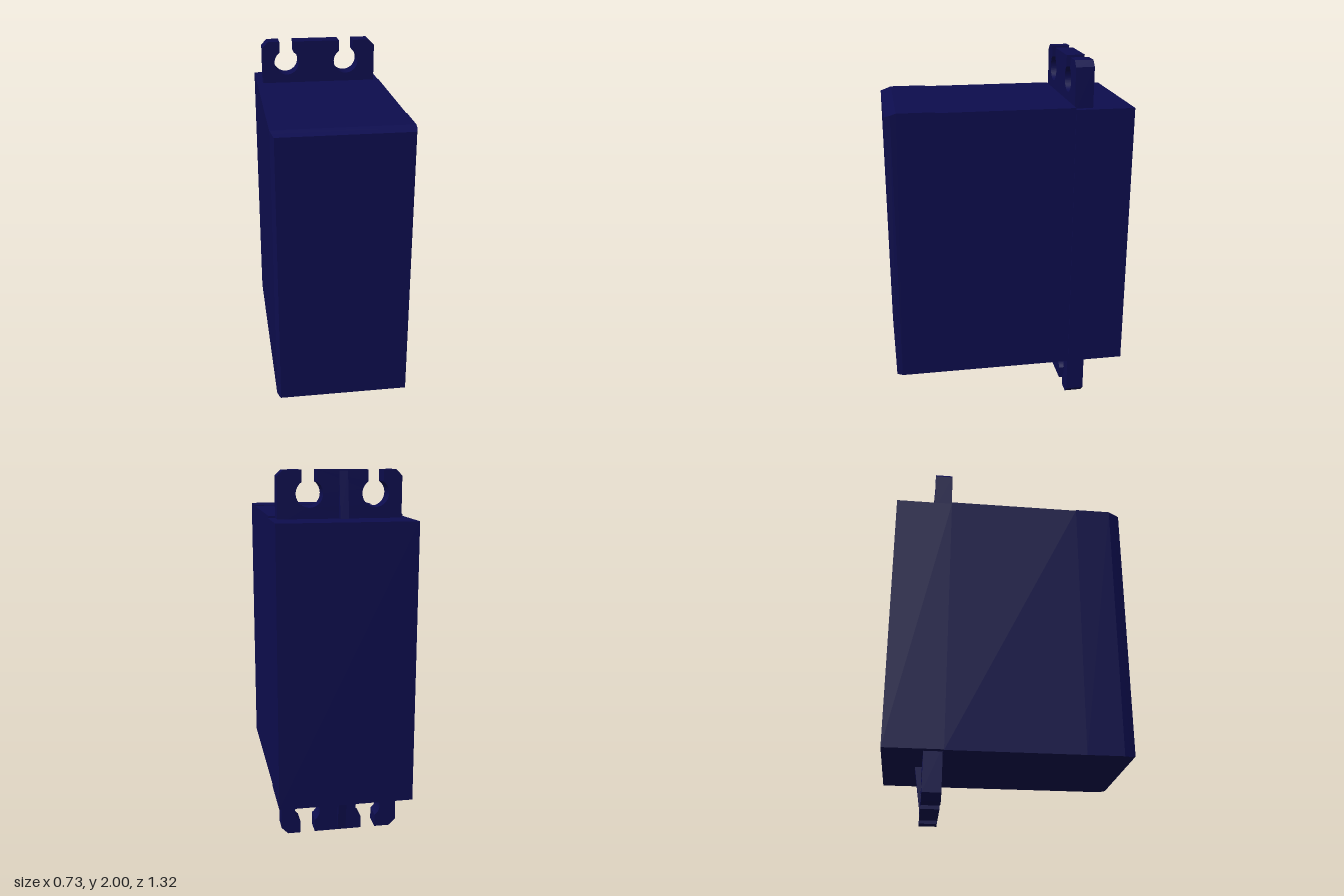
import * as THREE from 'three';

const navy = new THREE.MeshStandardMaterial({ color: 0x0d0d4e });
navy.name = 'navy plastic';

// Rectangular sections [z, left x, right x, bottom y, top y], front to back
function loft(sections) {
  const pos = [];
  const rings = sections.map(([z, x0, x1, y0, y1]) =>
    [[x0, y0, z], [x1, y0, z], [x1, y1, z], [x0, y1, z]]);
  const quad = (a, b, c, d) => pos.push(...a, ...b, ...c, ...a, ...c, ...d);
  const last = rings[rings.length - 1];
  quad(...rings[0]);
  quad(last[3], last[2], last[1], last[0]);
  for (let i = 0; i < rings.length - 1; i++) {
    const f = rings[i], b = rings[i + 1];
    for (let k = 0; k < 4; k++) {
      const n = (k + 1) % 4;
      quad(f[k], b[k], b[n], f[n]);
    }
  }
  const g = new THREE.BufferGeometry();
  g.setAttribute('position', new THREE.Float32BufferAttribute(pos, 3));
  g.computeVertexNormals();
  return g;
}

function addMesh(parent, geometry, name) {
  const mesh = new THREE.Mesh(geometry, navy);
  mesh.name = name;
  parent.add(mesh);
  return mesh;
}

// Mounting ear with two keyhole slots, plus a tapered rib on its back
function makeEar(name, { x0, x1, holes, holeY, chamfer, ribX, zFront }) {
  const ear = new THREE.Group();
  ear.name = name;
  const r = 0.071, half = 0.041, a = Math.acos(half / r);
  const s = new THREE.Shape();
  s.moveTo(x0, 1.72);
  s.lineTo(x1, 1.72);
  s.lineTo(x1, 2 - chamfer);
  s.lineTo(x1 - chamfer, 2);
  for (const c of holes) {
    s.lineTo(c + half, 2);
    s.absarc(c, holeY, r, a, Math.PI - a, true);
    s.lineTo(c - half, 2);
  }
  s.lineTo(x0 + chamfer, 2);
  s.lineTo(x0, 2 - chamfer);
  s.closePath();
  const plate = new THREE.ExtrudeGeometry(s, { depth: 0.1, bevelEnabled: false, curveSegments: 24 });
  plate.translate(0, 0, zFront - 0.1);
  addMesh(ear, plate, 'earPlate');

  // Profile is drawn with x as distance behind the plate front
  const p = new THREE.Shape([[0.08, 1.72], [0.142, 1.72], [0.101, 1.995], [0.08, 1.995]]
    .map(([d, y]) => new THREE.Vector2(d, y)));
  const rib = new THREE.ExtrudeGeometry(p, { depth: 0.045, bevelEnabled: false });
  rib.rotateY(Math.PI / 2);
  rib.translate(ribX, 0, zFront);
  addMesh(ear, rib, 'earRib');
  return ear;
}

export function createModel() {
  const model = new THREE.Group();
  model.name = 'servoCase';

  // Case with softened front edges and a shallow step behind the ears
  addMesh(model, loft([
    [0.66, -0.348, 0.348, 0.253, 1.748],
    [0.63, -0.357, 0.357, 0.247, 1.757],
    [0.6, -0.365, 0.358, 0.247, 1.767],
    [0.4, -0.365, 0.358, 0.247, 1.767],
    [0.4, -0.365, 0.358, 0.247, 1.762],
    [-0.34, -0.365, 0.358, 0.247, 1.762],
    [-0.34, -0.365, 0.362, 0.25, 1.752],
    [-0.66, -0.365, 0.362, 0.25, 1.752],
  ]), 'caseBody');

  model.add(makeEar('topEar', {
    x0: -0.33, x1: 0.325, holes: [0.158, -0.19], holeY: 1.88,
    chamfer: 0.032, ribX: -0.042, zFront: -0.34,
  }));

  // Lower ear is the same part turned half round
  const lower = makeEar('bottomEar', {
    x0: -0.325, x1: 0.33, holes: [0.168, -0.178], holeY: 1.873,
    chamfer: 0.036, ribX: -0.005, zFront: -0.345,
  });
  lower.rotation.z = Math.PI;
  lower.position.y = 2;
  model.add(lower);

  return model;
}
